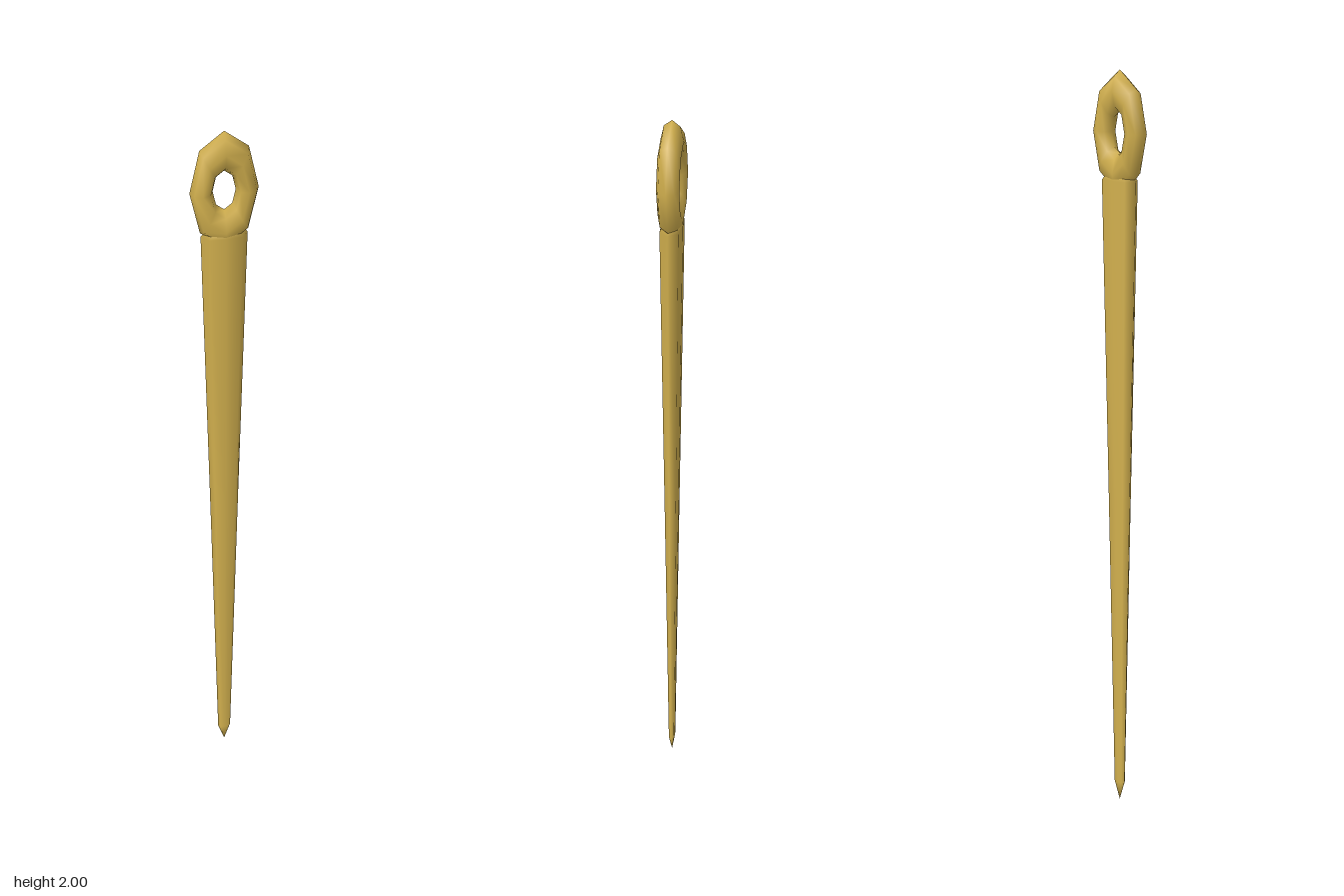
import * as THREE from 'three';
import { mergeVertices } from 'three/addons/utils/BufferGeometryUtils.js';

const gold = new THREE.MeshStandardMaterial({ color: 0xd2b04e });

// Weld the seams so that the normals run smoothly all round
function smooth(geometry) {
  geometry.deleteAttribute('uv');
  geometry.deleteAttribute('normal');
  const welded = mergeVertices(geometry, 1e-5);
  welded.computeVertexNormals();
  return welded;
}

function part(name, geometry) {
  const mesh = new THREE.Mesh(smooth(geometry), gold);
  mesh.name = name;
  return mesh;
}

export function createModel() {
  const group = new THREE.Group();
  group.name = 'needle';

  // Eye: eight-sided ring stretched upwards
  const eye = new THREE.TorusGeometry(0.056, 0.028, 8, 8);
  eye.scale(1, 1.85, 1);
  eye.translate(0, 1.845, 0);
  group.add(part('eye', eye));

  // Shaft: flattened taper from the eye to a short point
  const profile = [
    [0, 0], [0.018, 0.055], [0.0375, 0.89], [0.058, 1.725], [0.036, 1.75], [0, 1.75],
  ].map(([r, y]) => new THREE.Vector2(r, y));
  const shaft = new THREE.LatheGeometry(profile, 8);
  const pos = shaft.attributes.position;
  for (let i = 0; i < pos.count; i++) {
    const x = pos.getX(i), z = pos.getZ(i);
    const r = Math.hypot(x, z);
    // Flatten front to back, with fuller shoulders than an ellipse
    const full = r > 0 ? Math.sign(z) * r * Math.pow(Math.abs(z) / r, 0.4) : 0;
    pos.setZ(i, full * 0.46);
  }
  group.add(part('shaft', shaft));

  return group;
}
